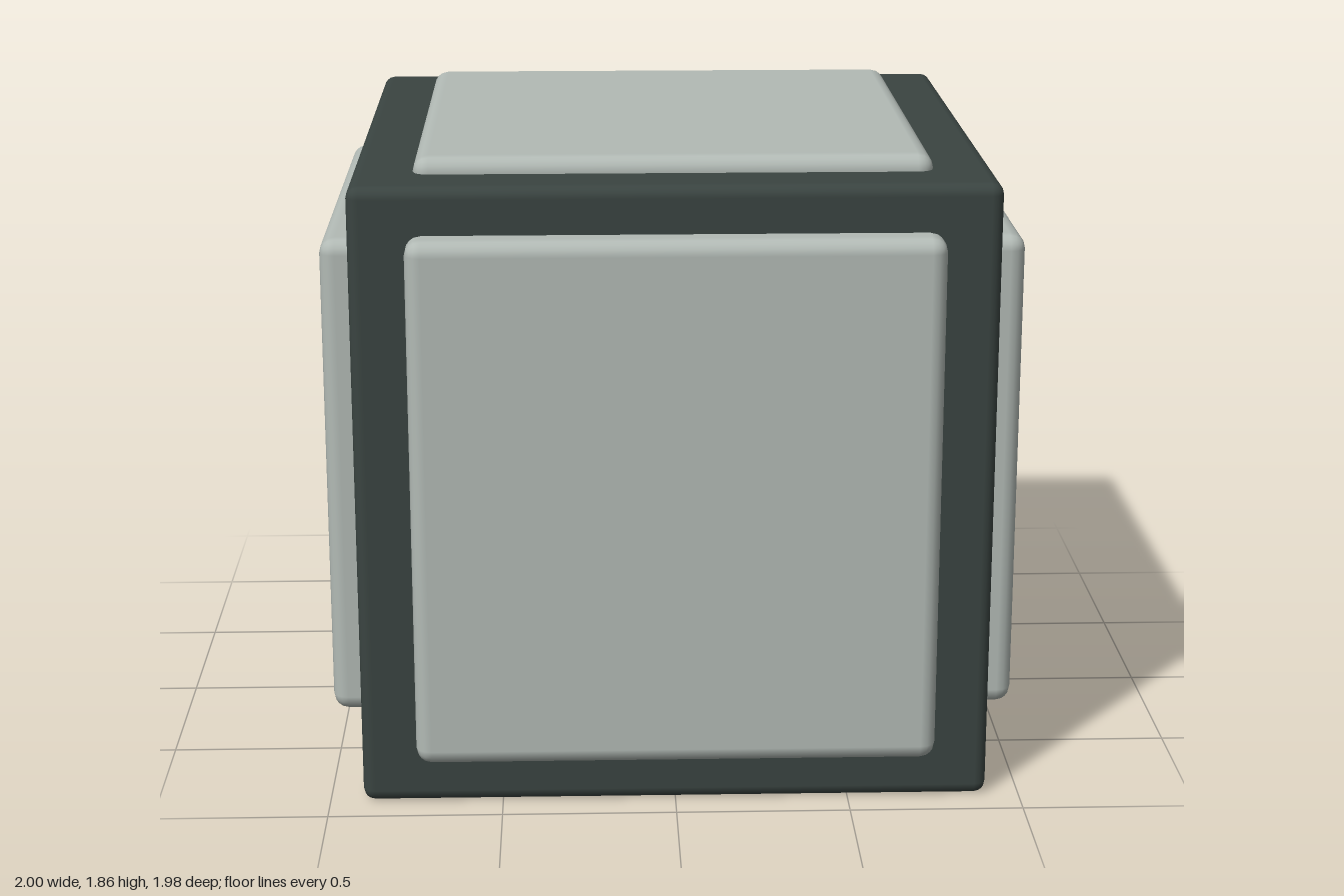
import * as THREE from 'three';
import { RoundedBoxGeometry } from 'three/addons/geometries/RoundedBoxGeometry.js';

export function createModel() {
  const model = new THREE.Group();
  model.name = 'panelledCube';

  const dark = new THREE.MeshStandardMaterial({ color: 0x3a4441 });
  const pale = new THREE.MeshStandardMaterial({ color: 0xb2bab5 });

  // Adds a softly bevelled block given its size and centre
  function block(name, size, centre, radius, material) {
    const mesh = new THREE.Mesh(new RoundedBoxGeometry(...size, 2, radius), material);
    mesh.name = name;
    mesh.position.set(...centre);
    model.add(mesh);
  }

  // Dark core standing on the ground
  block('core', [1.81, 1.815, 1.81], [0, 0.9075, 0], 0.035, dark);

  // Raised panels on the four sides; the underside stays plain
  const depth = 0.18;
  for (const s of [1, -1]) {
    block(s > 0 ? 'frontPanel' : 'backPanel',
      [1.49, 1.535, depth], [0, 0.9125, s * (0.99 - depth / 2)], 0.045, pale);
    block(s > 0 ? 'leftPanel' : 'rightPanel',
      [depth, 1.42, 1.425], [s * (1 - depth / 2), 0.915, 0], 0.045, pale);
  }

  // Shallower panel on top
  block('topPanel', [1.46, depth, 1.46], [0, 1.862 - depth / 2, 0], 0.045, pale);

  return model;
}
